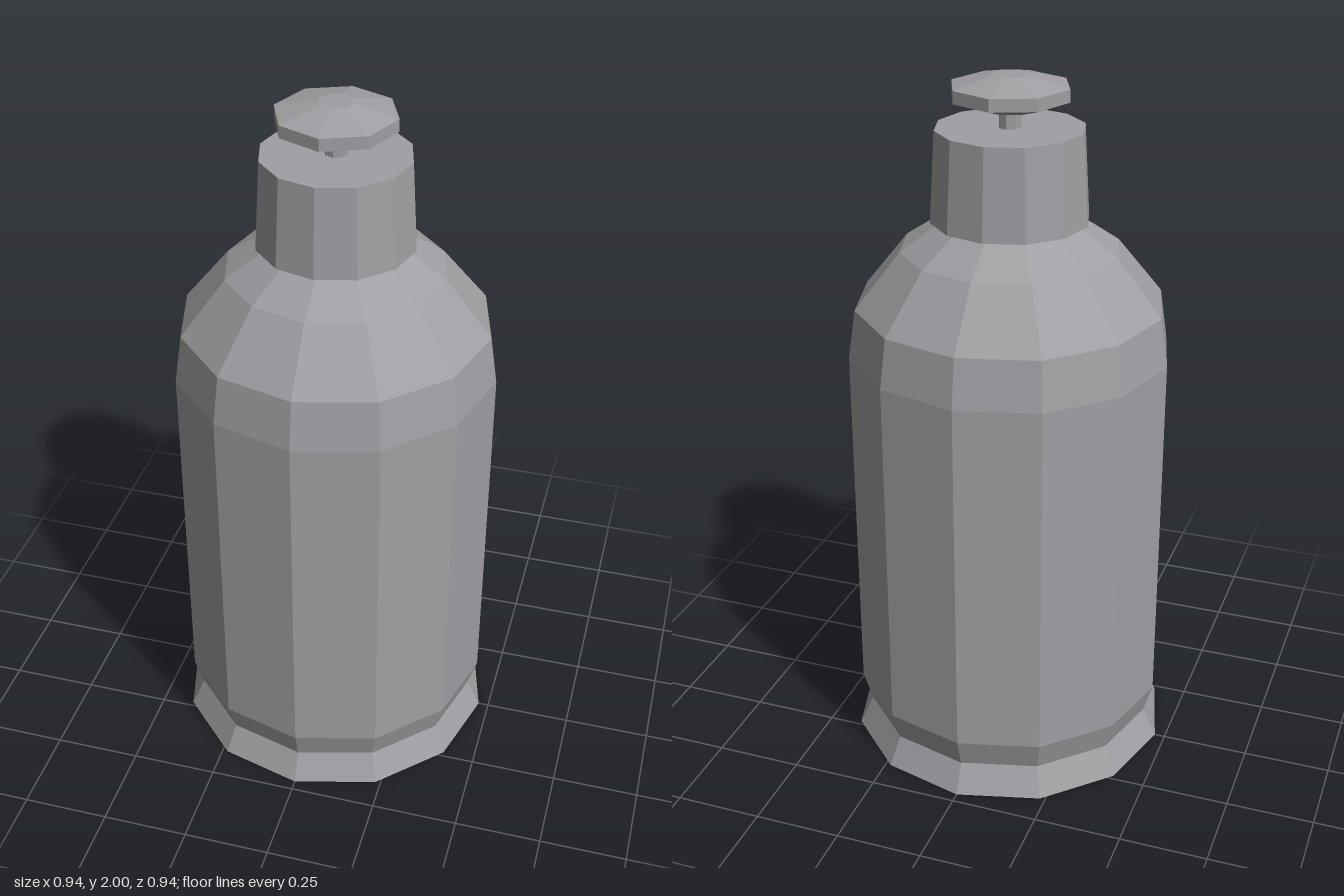
import * as THREE from 'three';

export function createModel() {
  const model = new THREE.Group();
  const grey = new THREE.MeshStandardMaterial({ color: 0xa0a0a4, flatShading: true });
  grey.name = 'grey';

  // Faceted turned part from a [radius, height] profile, listed bottom to top
  const turned = (name, sides, profile) => {
    const points = profile.map(([r, y]) => new THREE.Vector2(r, y));
    const mesh = new THREE.Mesh(new THREE.LatheGeometry(points, sides), grey);
    mesh.name = name;
    model.add(mesh);
  };

  // Flared foot, pinched waist, straight wall and sloping shoulder
  turned('bottleBody', 12, [
    [0, 0], [0.47, 0], [0.43, 0.085], [0.456, 0.172], [0.456, 1.225],
    [0.435, 1.365], [0.307, 1.525], [0.185, 1.607], [0, 1.607],
  ]);

  // Tapered collar overhanging the neck
  turned('collar', 12, [[0, 1.603], [0.221, 1.603], [0.206, 1.858], [0, 1.858]]);

  // Thin stem carrying the push button
  turned('stem', 8, [[0.032, 1.85], [0.032, 1.92]]);
  turned('pushButton', 8, [
    [0, 1.908], [0.075, 1.908], [0.166, 1.937], [0.166, 1.972], [0.05, 2], [0, 2],
  ]);

  return model;
}
